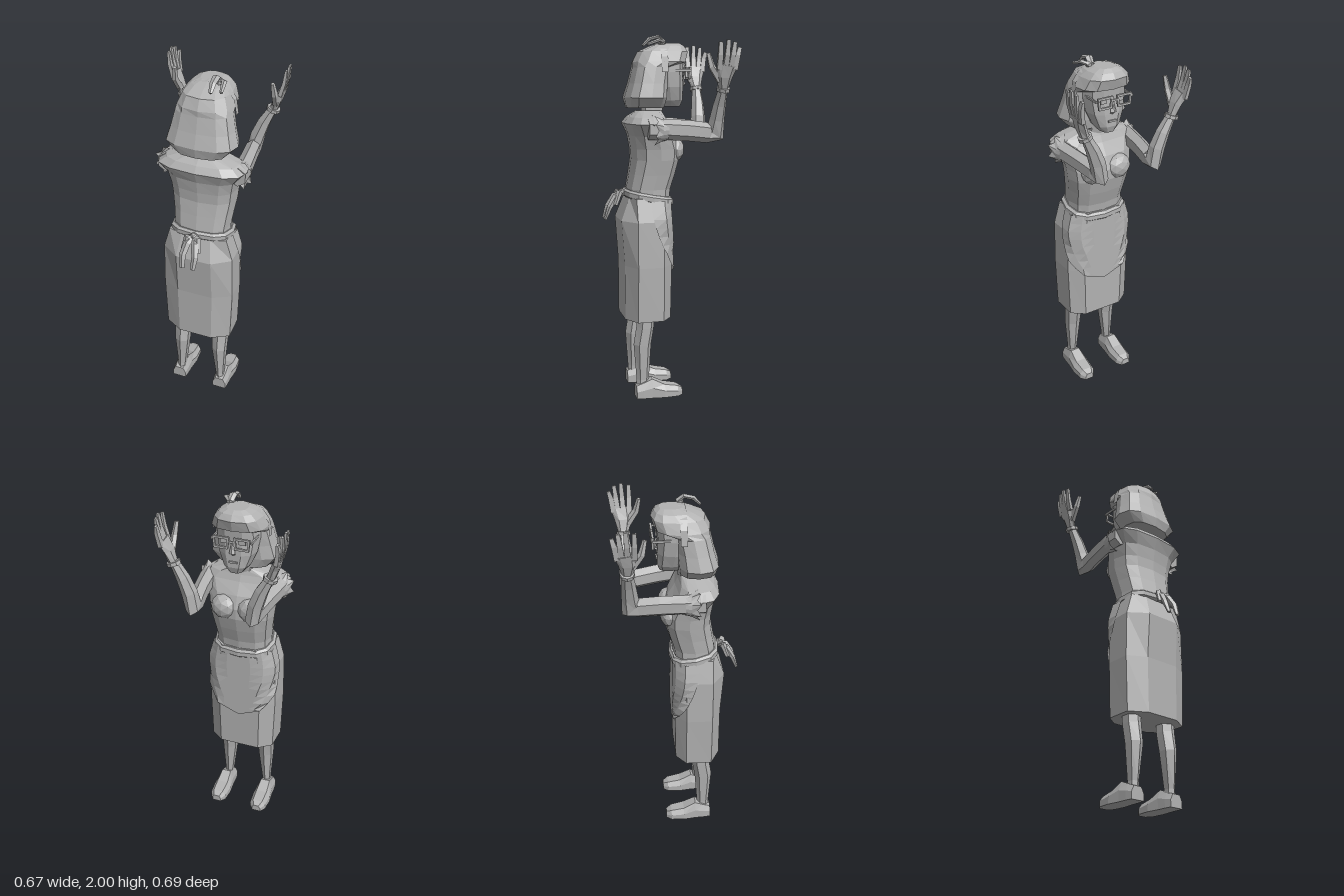
import * as THREE from 'three';

const grey = new THREE.MeshStandardMaterial({ color: 0xb2b2b2, side: THREE.DoubleSide });
const V = (x, y, z) => new THREE.Vector3(x, y, z);

// Faceted skin over rows of points; closed rows are capped and wound outwards
function loft(rows, closed = true) {
  const tris = [], n = rows[0].length;
  for (let r = 0; r < rows.length - 1; r++) {
    for (let i = 0; i < (closed ? n : n - 1); i++) {
      const j = (i + 1) % n, [p, q] = [rows[r], rows[r + 1]];
      tris.push([p[i], q[i], q[j]], [p[i], q[j], p[j]]);
    }
  }
  if (closed) {
    const cap = (row, flip) => {
      const c = row.reduce((a, p) => a.add(p), V(0, 0, 0)).divideScalar(n);
      row.forEach((p, i) => tris.push(flip ? [c, row[(i + 1) % n], p] : [c, p, row[(i + 1) % n]]));
    };
    cap(rows[0], false);
    cap(rows[rows.length - 1], true);
    const volume = tris.reduce((s, [a, b, c]) => s + a.dot(b.clone().cross(c)), 0);
    if (volume < 0) tris.forEach(t => t.reverse());
  }
  const geo = new THREE.BufferGeometry().setFromPoints(tris.flat());
  geo.computeVertexNormals();
  return geo;
}

// Level cross-section: half width, back z, front z and squareness
function ring([y, hw, zBack, zFront], n = 12, power = 0.75) {
  const bend = v => Math.sign(v) * Math.pow(Math.abs(v), power);
  return Array.from({ length: n }, (_, i) => {
    const a = (i / n) * Math.PI * 2;
    return V(hw * bend(Math.cos(a)), y, (zBack + zFront) / 2 + (zBack - zFront) / 2 * bend(Math.sin(a)));
  });
}

// Faceted limb along points [x, y, z, depth radius, x radius]
function limb(points, n = 6, twist = 0) {
  const c = points.map(p => V(p[0], p[1], p[2]));
  return loft(points.map((p, k) => {
    const t = c[Math.min(k + 1, c.length - 1)].clone().sub(c[Math.max(k - 1, 0)]).normalize();
    const v = V(1, 0, 0).addScaledVector(t, -t.x).normalize();
    const u = t.clone().cross(v);
    return Array.from({ length: n }, (_, i) => {
      const a = (i / n) * Math.PI * 2 + twist;
      return c[k].clone().addScaledVector(u, p[3] * Math.cos(a)).addScaledVector(v, p[4] * Math.sin(a));
    });
  }));
}

function add(parent, name, geo, x = 0, y = 0, z = 0) {
  const flat = geo.index ? geo.toNonIndexed() : geo;
  flat.computeVertexNormals();
  const mesh = new THREE.Mesh(flat, grey);
  mesh.name = name;
  mesh.position.set(x, y, z);
  parent.add(mesh);
  return mesh;
}

export function createModel() {
  const model = new THREE.Group();
  model.name = 'woman';
  const group = name => {
    const g = new THREE.Group();
    g.name = name;
    model.add(g);
    return g;
  };

  // Torso and neck
  const torso = [[1.09, 0.155, 0.2, -0.02], [1.17, 0.155, 0.21, -0.03], [1.25, 0.165, 0.195, -0.055],
    [1.33, 0.178, 0.182, -0.075], [1.39, 0.185, 0.185, -0.075], [1.46, 0.2, 0.195, -0.05],
    [1.525, 0.245, 0.22, -0.01], [1.56, 0.2, 0.195, 0.005], [1.595, 0.085, 0.15, 0.015]];
  add(model, 'blouse', loft(torso.map(t => ring(t))));
  add(model, 'neck', loft([[1.56, 0.065, 0.13, 0.01], [1.7, 0.06, 0.11, -0.02]].map(t => ring(t, 8))));

  // Skirt from a mirrored eight-sided section: [y, x scale, back z, front z]
  const skirt = [[0.445, 0.97, 0.24, -0.015], [0.75, 1.02, 0.24, -0.02], [1.0, 1, 0.257, -0.02], [1.125, 0.82, 0.21, -0.025]];
  add(model, 'skirt', loft(skirt.map(([y, s, back, front]) => {
    const half = [[0.12, front], [0.195, 0.04], [0.2, 0.185], [0.1, back]];
    return [...half.map(([x, z]) => V(x * s, y, z)), ...half.reverse().map(([x, z]) => V(-x * s, y, z))];
  })));

  // Rounded apron wrapped over the skirt front
  const wrap = (s, y) => {
    const k = y > 1 ? 1 - (y - 1) * 1.4 : 1.01, a = Math.abs(s);
    const x = a < 0.12 ? a : a < 0.216 ? 0.12 + (a - 0.12) * 0.8 : 0.197;
    const z = a < 0.12 ? -0.02 : a < 0.216 ? -0.02 + (a - 0.12) * 0.63 : 0.04 + (a - 0.216);
    return V(Math.sign(s) * (x * k + (a > 0.12 ? 0.007 : 0)), y, z - 0.012);
  };
  const apronRows = Array.from({ length: 10 }, (_, i) => {
    const f = i / 9, y = 1.11 - 0.43 * f;
    const w = 0.285 * Math.pow(1 - f * f, 0.6) + 0.01;
    return [-1, -0.75, -0.5, -0.25, 0, 0.25, 0.5, 0.75, 1].map(t => wrap(t * w, y));
  });
  add(model, 'apron', loft(apronRows, false));

  // Waistband, dipping towards the front, and its bow
  const band = [[1.115, 0.16, 0.215, -0.035], [1.125, 0.175, 0.228, -0.045], [1.15, 0.175, 0.228, -0.045], [1.162, 0.16, 0.215, -0.035]];
  add(model, 'waistband', loft(band.map(b => ring(b).map(p => V(p.x, p.y - 0.035 + p.z * 0.18, p.z)))));
  const bow = group('apronBow');
  add(bow, 'knot', new THREE.IcosahedronGeometry(0.025, 0), 0, 1.145, 0.235);
  for (const s of [1, -1]) {
    add(bow, 'tail', limb([[0, 1.145, 0.23, 0.012, 0.015], [s * 0.022, 1.125, 0.275, 0.018, 0.022],
      [s * 0.035, 1.07, 0.31, 0.015, 0.02], [s * 0.03, 1.0, 0.335, 0.008, 0.014]], 5));
    add(bow, 'loop', limb([[0, 1.145, 0.23, 0.01, 0.012], [s * 0.03, 1.15, 0.255, 0.018, 0.02],
      [s * 0.045, 1.08, 0.28, 0.012, 0.014]], 5));
  }

  // Head, hair and headband
  const head = group('head');
  add(head, 'face', loft([[1.615, 0.04, 0.02, -0.093], [1.65, 0.07, 0.05, -0.106], [1.72, 0.1, 0.08, -0.106],
    [1.8, 0.113, 0.1, -0.102], [1.89, 0.11, 0.1, -0.11]].map(t => ring(t, 10))));
  add(head, 'nose', limb([[0, 1.785, -0.102, 0.008, 0.01], [0, 1.735, -0.118, 0.012, 0.017], [0, 1.725, -0.104, 0.006, 0.014]], 4));
  add(head, 'mouth', new THREE.BoxGeometry(0.045, 0.01, 0.008), 0, 1.682, -0.106);
  add(head, 'hair', loft([[1.61, 0.14, 0.205, 0.005], [1.665, 0.193, 0.217, -0.005], [1.74, 0.172, 0.193, -0.01],
    [1.825, 0.152, 0.172, -0.025], [1.855, 0.148, 0.172, -0.118], [1.91, 0.124, 0.145, -0.134],
    [1.94, 0.095, 0.08, -0.115], [1.957, 0.055, 0.03, -0.09]].map(t => ring(t))));
  const bandArc = Array.from({ length: 9 }, (_, i) => {
    const a = (i / 8) * Math.PI;
    return [0.018, -0.018].map(d => V(0.156 * Math.cos(a), 1.8 + 0.158 * Math.pow(Math.sin(a), 0.7), 0.025 + d));
  });
  add(head, 'headband', loft(bandArc, false));
  const knot = group('headbandKnot');
  add(knot, 'knot', new THREE.IcosahedronGeometry(0.024, 0), 0.058, 1.957, 0.02);
  add(knot, 'tail', limb([[0.055, 1.96, 0.01, 0.014, 0.018], [0.05, 1.988, 0.04, 0.011, 0.022],
    [0.05, 1.975, 0.09, 0.011, 0.018], [0.05, 1.94, 0.125, 0.007, 0.011]], 5));
  add(knot, 'tail', limb([[0.065, 1.96, 0.015, 0.012, 0.012], [0.09, 1.97, 0.04, 0.01, 0.015], [0.1, 1.945, 0.11, 0.008, 0.01]], 5));

  // Spectacles: two frames with holes, a bridge and side arms
  const glasses = group('glasses');
  const rect = (target, w, h) => {
    [[-w, h], [w, h], [w * 0.85, -h], [-w * 0.85, -h]].forEach(([x, y], i) => i ? target.lineTo(x, y) : target.moveTo(x, y));
    target.closePath();
    return target;
  };
  const rim = rect(new THREE.Shape(), 0.045, 0.032);
  rim.holes.push(rect(new THREE.Path(), 0.034, 0.021));
  for (const s of [1, -1]) {
    add(glasses, 'rim', new THREE.ExtrudeGeometry(rim, { depth: 0.012, bevelEnabled: false }), s * 0.056, 1.795, -0.134);
    add(glasses, 'eye', new THREE.BoxGeometry(0.036, 0.02, 0.006), s * 0.05, 1.793, -0.104);
    add(glasses, 'sideArm', new THREE.BoxGeometry(0.008, 0.012, 0.13), s * 0.106, 1.81, -0.065);
  }
  add(glasses, 'bridge', new THREE.BoxGeometry(0.03, 0.01, 0.01), 0, 1.803, -0.128);

  // Paired parts
  for (const s of [1, -1]) {
    const side = s > 0 ? 'left' : 'right';
    const m = pts => pts.map(([x, ...rest]) => [s * x, ...rest]);

    const bust = add(model, 'bust', new THREE.IcosahedronGeometry(0.075, 1), s * 0.075, 1.385, -0.043);
    bust.scale.set(1, 0.95, 0.75);

    // Arm reaching forward, bent up at the elbow
    const arm = group(side + 'Arm');
    add(arm, 'arm', limb(m([[0.2, 1.5, 0.13, 0.055, 0.048], [0.2, 1.5, 0.04, 0.055, 0.046], [0.183, 1.49, -0.1, 0.056, 0.042],
      [0.166, 1.477, -0.21, 0.055, 0.042], [0.163, 1.468, -0.25, 0.056, 0.04], [0.18, 1.55, -0.255, 0.043, 0.042],
      [0.21, 1.63, -0.26, 0.036, 0.036], [0.257, 1.72, -0.265, 0.025, 0.024]])));
    add(arm, 'bracelet', limb(m([[0.252, 1.7, -0.265, 0.037, 0.038], [0.258, 1.718, -0.265, 0.037, 0.038]]), 8));

    // Ruffled sleeve edge
    const ruffle = [[0.025, 0.052, 0], [0.055, 0.06, 0], [0.085, 0.066, 0.018]].map(([z, r, zig]) =>
      Array.from({ length: 17 }, (_, i) => {
        const a = (i / 16) * Math.PI * 2, q = i % 2 ? zig : 0;
        return V(s * (0.197 + (r - 0.008 + q) * Math.cos(a)), 1.495 + (r + q) * Math.sin(a), z + q);
      }));
    add(arm, 'sleeveRuffle', loft(ruffle, false));

    // Hand with fingers spread and palm turned inwards
    const hand = group(side + 'Hand');
    add(hand, 'palm', limb(m([[0.257, 1.71, -0.265, 0.027, 0.022], [0.28, 1.775, -0.262, 0.046, 0.024], [0.303, 1.835, -0.272, 0.057, 0.017]])));
    [[-0.228, -0.227, 1.953, 0.324], [-0.26, -0.268, 1.962, 0.328], [-0.288, -0.305, 1.952, 0.322], [-0.312, -0.335, 1.925, 0.308]]
      .forEach(([z0, z1, top, x]) => add(hand, 'finger', limb(m([[0.298, 1.81, z0, 0.02, 0.015],
        [(0.303 + x) / 2 + 0.004, 1.885, (z0 + z1) / 2, 0.019, 0.013], [x, top, z1, 0.014, 0.008]]), 4, Math.PI / 4)));
    add(hand, 'thumb', limb(m([[0.272, 1.755, -0.242, 0.022, 0.018], [0.278, 1.825, -0.193, 0.019, 0.018], [0.27, 1.895, -0.176, 0.012, 0.012]]), 5));

    // Leg and shoe
    const leg = group(side + 'Leg');
    add(leg, 'shin', limb(m([[0.118, 0.5, 0.125, 0.048, 0.05], [0.118, 0.4, 0.132, 0.05, 0.05], [0.118, 0.3, 0.148, 0.05, 0.046],
      [0.124, 0.1, 0.148, 0.035, 0.026], [0.126, 0.05, 0.148, 0.036, 0.028]])));
    const sole = [[0.19, 0.04, 0.07], [0.15, 0.044, 0.085], [0.1, 0.046, 0.105], [0.03, 0.054, 0.07], [-0.045, 0.048, 0.055], [-0.075, 0.026, 0.038]];
    add(leg, 'shoe', loft(sole.map(([z, w, h]) => {
      const cx = s * 0.131;
      return [[-w, 0], [w, 0], [w, h * 0.55], [w * 0.6, h], [-w * 0.6, h], [-w, h * 0.55]].map(([x, y]) => V(cx + x, y, z));
    })));
  }
  return model;
}
